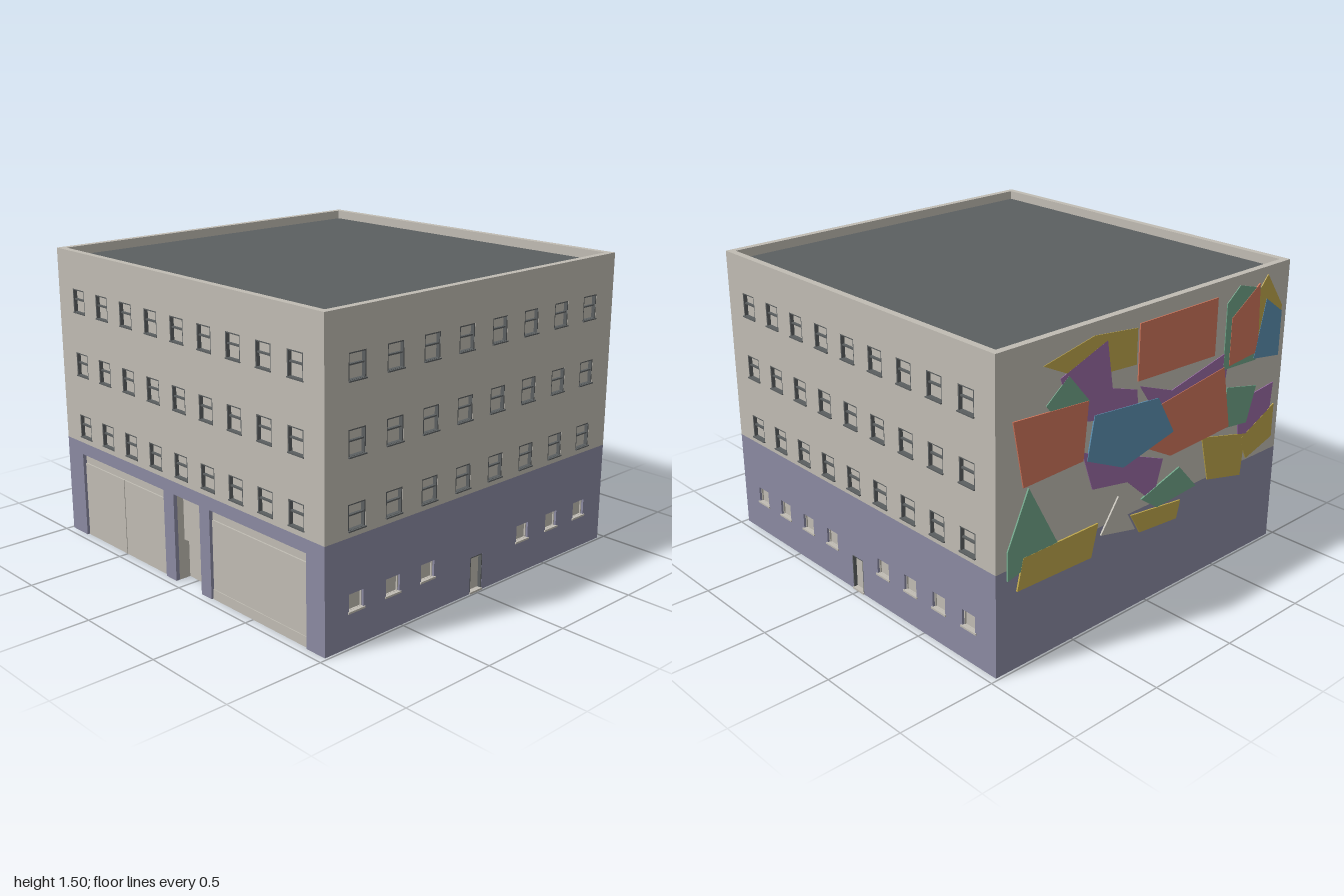
import * as THREE from 'three';

const W = 1.973, D = 1.924, H = 1.5, BASE = 0.51; // overall block and painted base height
const SKIN = 0.02, LINING = 0.015;                // outer wall and inner lining thickness

const paint = (name, color) => {
  const m = new THREE.MeshStandardMaterial({ color });
  m.name = name;
  return m;
};

export function createModel() {
  const root = new THREE.Group();
  root.name = 'building';
  const stone = paint('stone', 0xc0bcb3);
  const lilac = paint('lilac base', 0x8b8aa2);
  const slate = paint('slate', 0x5b5f60);
  const red = paint('mural terracotta', 0xd0765c);
  const yellow = paint('mural yellow', 0xbfa74c);
  const violet = paint('mural violet', 0x9a6ca5);
  const blue = paint('mural blue', 0x5c8fb0);
  const green = paint('mural green', 0x70a488);

  const mesh = (parent, name, geo, mat, x = 0, y = 0, z = 0) => {
    const m = new THREE.Mesh(geo, mat);
    m.name = name;
    m.position.set(x, y, z);
    parent.add(m);
    return m;
  };
  const box = (parent, name, mat, w, h, d, x, y, z) =>
    mesh(parent, name, new THREE.BoxGeometry(w, h, d), mat, x, y, z);
  const rect = (x0, y0, x1, y1) =>
    [[x0, y0], [x1, y0], [x1, y1], [x0, y1]].map(p => new THREE.Vector2(...p));
  const extrude = (shape, depth) => new THREE.ExtrudeGeometry(shape, { depth, bevelEnabled: false });

  // Wall slab with window holes and door notches that reach its bottom edge
  const slab = (w, y0, y1, depth, holes = [], notches = []) => {
    const pts = [[-w / 2, y0]];
    for (const [a, b, top] of notches) pts.push([a, y0], [a, top], [b, top], [b, y0]);
    pts.push([w / 2, y0], [w / 2, y1], [-w / 2, y1]);
    const shape = new THREE.Shape(pts.map(p => new THREE.Vector2(...p)));
    for (const h of holes) shape.holes.push(new THREE.Path(rect(...h)));
    return extrude(shape, depth);
  };
  // Rectangular ring standing on y = 0
  const ring = (w, h, t, depth) => {
    const s = new THREE.Shape(rect(-w / 2, 0, w / 2, h));
    s.holes.push(new THREE.Path(rect(-w / 2 + t, t, w / 2 - t, h - t)));
    return extrude(s, depth);
  };

  const WW = 0.1, WH = 0.122, rows = [0.537, 0.864, 1.19];
  const SW = 0.086, SH = 0.085, smallY = 0.165;
  const frameGeo = ring(WW, WH, 0.006, SKIN - 0.001);
  const smallFrameGeo = ring(SW, SH, 0.005, 0.008);

  // One facade: local x runs along the wall, its outer face is z = 0
  const facade = (name, w, angle, x, z, opt) => {
    const { trim = 0, columns = [], small = [], notches = [], liningNotches = [], door, sillOut = 0.008 } = opt;
    const g = new THREE.Group();
    g.name = name;
    g.position.set(x, 0, z);
    g.rotation.y = angle;
    root.add(g);
    const cuts = door ? [[-0.042, 0.042, 0.185]] : notches;
    const upper = columns.flatMap(c => rows.map(y => [c - WW / 2, y, c + WW / 2, y + WH]));
    const lower = small.map(c => [c - SW / 2, smallY, c + SW / 2, smallY + SH]);
    const outer = w - 2 * trim;
    mesh(g, 'upperWall', slab(outer, BASE, H, SKIN, upper), stone, 0, 0, -SKIN);
    mesh(g, 'baseWall', slab(outer, 0, BASE, SKIN, lower, cuts), lilac, 0, 0, -SKIN);
    const inner = trim ? w - 2 * (SKIN + LINING) : w - 2 * SKIN;
    mesh(g, 'wallLining', slab(inner, 0, H, LINING, [], liningNotches), stone, 0, 0, -SKIN - LINING);

    for (const c of columns) for (const y of rows) {
      mesh(g, 'windowFrame', frameGeo, slate, c, y, -SKIN);
      box(g, 'windowTransom', slate, WW - 0.01, 0.007, 0.014, c, y + 0.069, -SKIN + 0.007);
      box(g, 'windowSill', slate, 0.104, 0.006, SKIN + sillOut, c, y + 0.002, (sillOut - SKIN) / 2);
    }
    for (const c of small) {
      mesh(g, 'smallWindowFrame', smallFrameGeo, stone, c, smallY, -SKIN);
      box(g, 'smallWindowSill', stone, 0.1, 0.009, SKIN + 0.006, c, smallY, -0.007);
    }
    if (door) {
      for (const s of [-1, 1]) box(g, 'doorJamb', slate, 0.005, 0.185, SKIN - 0.001, s * 0.0395, 0.0925, -SKIN / 2);
      box(g, 'doorHead', slate, 0.084, 0.005, SKIN - 0.001, 0, 0.1825, -SKIN / 2);
      box(g, 'doorStep', stone, 0.084, 0.01, SKIN + 0.006, 0, 0.005, -0.007);
    }
    return g;
  };

  const spread = (n, step, mid = 0) => Array.from({ length: n }, (_, i) => mid + (i - (n - 1) / 2) * step);
  const nine = spread(9, 0.2025), eight = spread(8, 0.2225);

  const entrance = [-0.07, 0.13, 0.445];
  const front = facade('frontFacade', W, 0, 0, D / 2, {
    columns: nine, sillOut: 0.003,
    notches: [[-0.855, -0.15, 0.445], entrance, [0.205, 0.87, 0.445]],
    liningNotches: [entrance],
  });
  facade('rightFacade', D, Math.PI / 2, W / 2, 0, {
    trim: SKIN, columns: eight, small: eight.filter(c => Math.abs(c) > 0.2), door: true,
  });
  facade('backFacade', W, Math.PI, 0, -D / 2, {
    columns: nine, small: nine.filter(c => Math.abs(c) > 0.1), door: true,
  });
  const muralWall = facade('muralFacade', D, -Math.PI / 2, -W / 2, 0, { trim: SKIN });

  // Shop bays: shutters standing slightly proud of the lining
  for (const [a, b] of [[-0.85, -0.505], [-0.5, -0.155], [0.21, 0.865]])
    box(front, 'bayShutter', stone, b - a, 0.395, 0.008, (a + b) / 2, 0.1975, -SKIN + 0.004);
  box(front, 'bayKickBand', stone, 0.655, 0.05, 0.004, 0.5375, 0.025, -SKIN + 0.01);

  // Recessed entrance porch
  const porch = new THREE.Group();
  porch.name = 'entrancePorch';
  front.add(porch);
  for (const x of [-0.0725, 0.1325]) box(porch, 'porchSide', stone, 0.005, 0.445, 0.07, x, 0.2225, -0.056);
  box(porch, 'porchCeiling', stone, 0.21, 0.005, 0.07, 0.03, 0.4475, -0.056);
  box(porch, 'entranceDoor', stone, 0.2, 0.2, 0.008, 0.03, 0.1, -0.086);
  box(porch, 'entranceUpperPanel', stone, 0.2, 0.245, 0.008, 0.03, 0.3225, -0.06);
  box(porch, 'entranceSoffit', stone, 0.2, 0.006, 0.03, 0.03, 0.203, -0.075);

  // Flat roof sunk behind the parapet
  box(root, 'roofDeck', slate, W - 0.069, 0.02, D - 0.069, 0, 1.445, 0);

  // Mural: overlapping thin plates, later ones slightly prouder
  let layer = 0;
  const patch = (mat, ...pts) => {
    const shape = new THREE.Shape(pts.map(p => new THREE.Vector2(...p)));
    mesh(muralWall, 'muralPatch', extrude(shape, 0.003 + 0.00026 * layer++), mat);
  };
  patch(yellow, [-0.7, 1.38], [-0.4, 1.44], [-0.13, 1.41], [-0.13, 1.24], [-0.45, 1.26]);
  patch(violet, [-0.6, 1.3], [-0.32, 1.4], [-0.28, 1.17], [-0.12, 1.12], [-0.1, 0.98], [-0.52, 1.08]);
  patch(green, [-0.68, 1.2], [-0.55, 1.3], [-0.42, 1.15], [-0.6, 1.1]);
  patch(violet, [-0.1, 1.13], [0.12, 1.05], [0.53, 1.14], [0.5, 0.9], [0.1, 0.85]);
  patch(violet, [-0.46, 0.92], [-0.13, 0.8], [0.08, 0.72], [0.02, 0.52], [-0.16, 0.68], [-0.39, 0.72]);
  patch(green, [0.49, 1.38], [0.58, 1.45], [0.76, 1.4], [0.74, 1.04], [0.49, 1.05]);
  patch(yellow, [0.7, 1.36], [0.79, 1.46], [0.92, 1.28], [0.9, 1.05], [0.72, 1.1]);
  patch(violet, [0.62, 0.85], [0.9, 0.88], [0.88, 0.64], [0.65, 0.58]);
  patch(green, [0.53, 0.95], [0.76, 0.9], [0.7, 0.72], [0.52, 0.74]);
  patch(yellow, [0.36, 0.74], [0.7, 0.66], [0.68, 0.44], [0.42, 0.5]);
  patch(yellow, [0.66, 0.64], [0.92, 0.76], [0.92, 0.58], [0.72, 0.52]);
  patch(red, [-0.117, 1.427], [0.416, 1.427], [0.416, 1.142], [-0.117, 1.158]);
  patch(red, [0.53, 1.3], [0.73, 1.43], [0.75, 1.08], [0.53, 1.06]);
  patch(blue, [0.72, 1.05], [0.79, 1.34], [0.92, 1.25], [0.92, 1.02]);
  patch(red, [-0.87, 1.185], [-0.43, 1.155], [-0.455, 0.88], [-0.81, 0.87]);
  patch(red, [0.026, 1.0], [0.494, 1.065], [0.56, 0.74], [0.13, 0.72], [-0.06, 0.82]);
  patch(blue, [-0.39, 1.075], [0.026, 1.04], [0.143, 0.84], [-0.195, 0.765], [-0.43, 0.87]);
  patch(green, [-0.9, 0.6], [-0.78, 0.86], [-0.6, 0.53], [-0.9, 0.46]);
  patch(green, [-0.065, 0.56], [0.2, 0.64], [0.33, 0.5], [0.05, 0.48]);
  patch(yellow, [-0.13, 0.5], [0.22, 0.46], [0.195, 0.37], [-0.065, 0.39]);
  patch(yellow, [-0.81, 0.54], [-0.35, 0.54], [-0.39, 0.38], [-0.845, 0.39]);
  patch(stone, [-0.33, 0.47], [-0.22, 0.63], [-0.1, 0.42]);

  return root;
}
